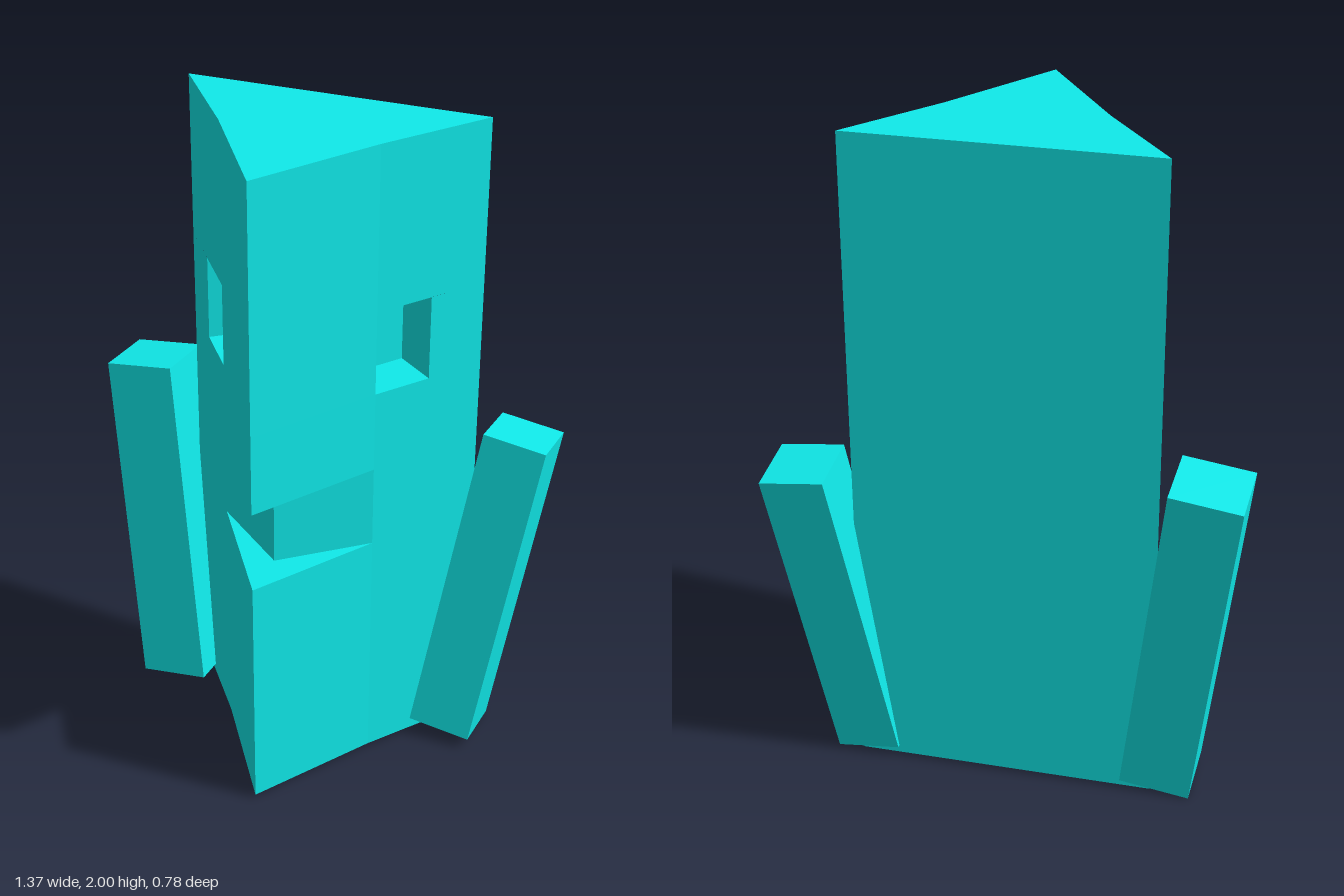
import * as THREE from 'three';
import { mergeGeometries } from 'three/addons/utils/BufferGeometryUtils.js';

const CX = 0.0125; // the body's plane of symmetry

// Mirror a right-hand half outline ([x from centre, z], front to back) into a full ring.
function ring(half) {
  const right = half.map(([x, z]) => [CX + x, z]);
  const left = half.filter(([x]) => x > 0).map(([x, z]) => [CX - x, z]).reverse();
  return [...left, ...right];
}

// Vertical walls along a closed ring, from y0 to y1.
function walls(points, y0, y1) {
  const pos = [];
  points.forEach(([ax, az], i) => {
    const [bx, bz] = points[(i + 1) % points.length];
    pos.push(ax, y0, az, bx, y0, bz, bx, y1, bz, ax, y0, az, bx, y1, bz, ax, y1, az);
  });
  const geo = new THREE.BufferGeometry();
  geo.setAttribute('position', new THREE.Float32BufferAttribute(pos, 3));
  geo.computeVertexNormals();
  return geo;
}

// Flat horizontal polygon at height y; dir is 1 for facing up, -1 for down.
function cap(points, y, dir) {
  const shape = new THREE.Shape(points.map(([x, z]) => new THREE.Vector2(x, -dir * z)));
  const geo = new THREE.ShapeGeometry(shape).toNonIndexed();
  geo.deleteAttribute('uv');
  return geo.rotateX(-dir * Math.PI / 2).translate(0, y, 0);
}

// Box spanned by three edge vectors from its top front inner corner.
function slantedBox(corner, across, down, back, side) {
  const [c, u, h, v] = [corner, across, down, back].map((a) => new THREE.Vector3(...a));
  const centre = c.clone().addScaledVector(u, 0.5).addScaledVector(h, 0.5).addScaledVector(v, 0.5);
  const m = new THREE.Matrix4().makeBasis(u.multiplyScalar(side), h.negate(), v.negate());
  return new THREE.BoxGeometry(1, 1, 1).applyMatrix4(m.setPosition(centre));
}

export function createModel() {
  const group = new THREE.Group();
  const material = new THREE.MeshStandardMaterial({ color: 0x10eaea, flatShading: true });
  const add = (name, geo) => {
    const mesh = new THREE.Mesh(geo, material);
    mesh.name = name;
    group.add(mesh);
  };

  // Key points of the right half of the body plan
  const tip = [0, 0.39], mouthTip = [0, 0.23];
  const cheek = [0.23, 0.04], corner = [0.445, -0.245];
  const eyeEnd = [0.338, -0.103];
  const eyeIn = [0.12, -0.045], eyeInEnd = [0.228, -0.188];

  const plain = ring([tip, cheek, corner]);
  const mouth = ring([mouthTip, cheek, corner]);
  const eyes = ring([tip, cheek, eyeIn, eyeInEnd, eyeEnd, corner]);

  // Body: stacked wall bands with recessed mouth and eye bands
  const levels = [0.015, 0.76, 1.01, 1.255, 1.51, 2];
  const parts = [plain, mouth, plain, eyes, plain]
    .map((outline, i) => walls(outline, levels[i], levels[i + 1]));
  parts.push(cap(plain, levels[0], -1), cap(plain, levels[5], 1));

  // Floor and ceiling of the mouth
  const mouthFloor = ring([tip, cheek]).concat([[CX, mouthTip[1]]]);
  parts.push(cap(mouthFloor, levels[1], 1), cap(mouthFloor, levels[2], -1));

  // Floors and ceilings of the eye sockets
  for (const s of [1, -1]) {
    const socket = [cheek, eyeIn, eyeInEnd, eyeEnd].map(([x, z]) => [CX + s * x, z]);
    parts.push(cap(socket, levels[3], 1), cap(socket, levels[4], -1));
  }
  add('body', mergeGeometries(parts));

  // Arms: slanted square bars, leaning outward and back
  add('leftArm', slantedBox([0.49, 1.045, -0.205], [0.19, -0.025, 0.005],
    [-0.148, -0.98, 0.14], [0.003, -0.027, -0.19], 1));
  add('rightArm', slantedBox([-0.475, 1.1, -0.14], [-0.21, -0.026, -0.005],
    [0.13, -1.05, 0.105], [0.005, -0.02, -0.21], -1));

  return group;
}
